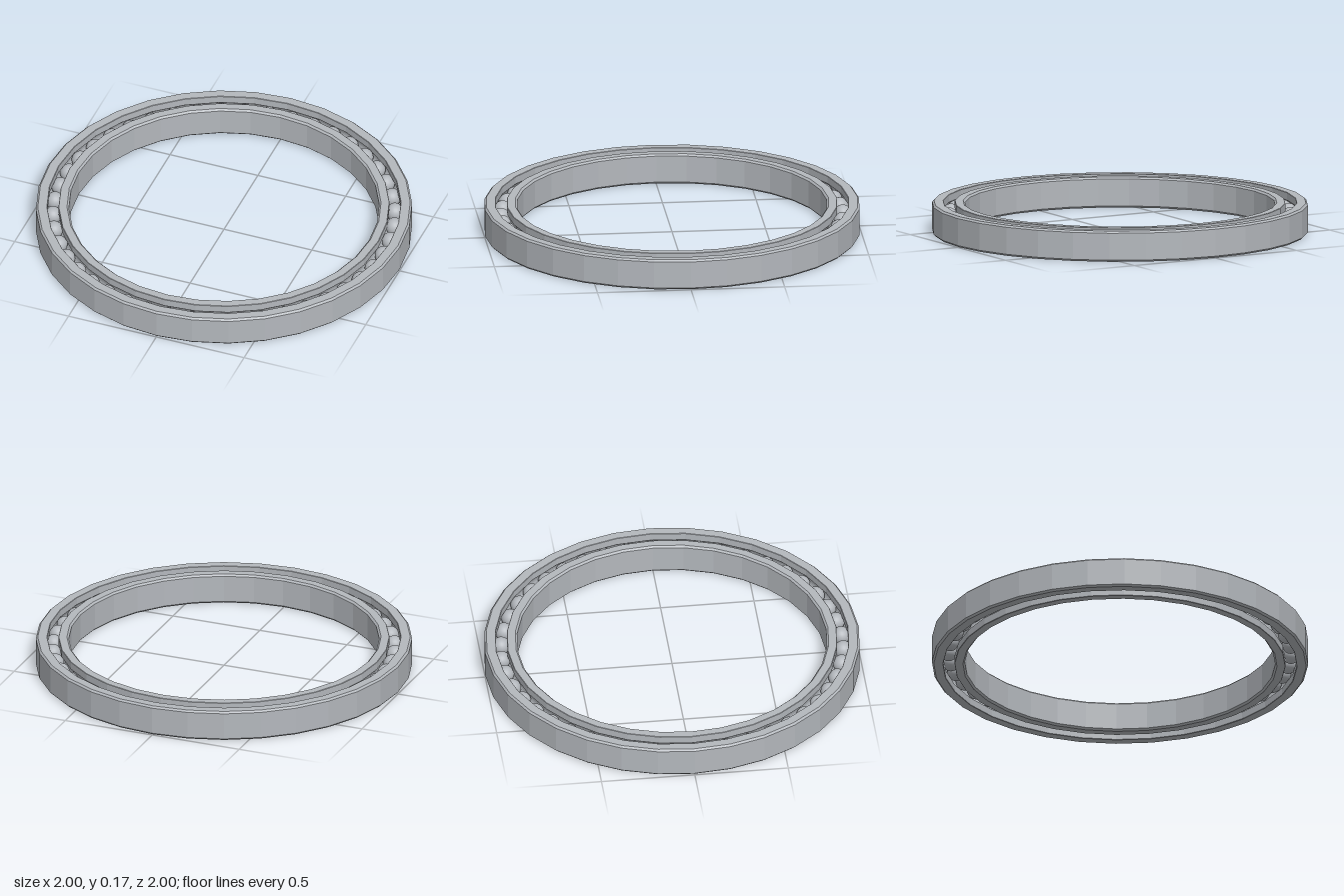
import * as THREE from 'three';

const HEIGHT = 0.165, MID = HEIGHT / 2;
const PITCH = 0.91;          // radius of the ball circle
const BALL_R = 0.048, GROOVE_R = 0.051;
const BALLS = 45, SIDES = 32, BEVEL = 0.01;

// Half-circle section of a ball groove cut into a wall at the given radius.
// dir = 1 runs up the wall facing outwards, dir = -1 runs down the wall facing inwards.
function groove(wall, dir) {
  const half = Math.acos(Math.abs(wall - PITCH) / GROOVE_R);
  const points = [];
  for (let i = 0; i <= 8; i++) {
    const a = -half + (2 * half * i) / 8;
    points.push(new THREE.Vector2(
      PITCH - dir * GROOVE_R * Math.cos(a),
      MID + dir * GROOVE_R * Math.sin(a)));
  }
  return points;
}

// Closed ring section with bevelled edges, turned into flat facets
function makeRing(name, rIn, rOut, bevelIn, bevelOut, innerGroove, outerGroove, material) {
  const v = (x, y) => new THREE.Vector2(x, y);
  const profile = [
    v(rIn + bevelIn, 0), v(rOut - bevelOut, 0), v(rOut, bevelOut),
    ...outerGroove,
    v(rOut, HEIGHT - bevelOut), v(rOut - bevelOut, HEIGHT),
    v(rIn + bevelIn, HEIGHT), v(rIn, HEIGHT - bevelIn),
    ...innerGroove,
    v(rIn, bevelIn), v(rIn + bevelIn, 0),
  ];
  const geometry = new THREE.LatheGeometry(profile, SIDES).toNonIndexed();
  geometry.computeVertexNormals();
  const mesh = new THREE.Mesh(geometry, material);
  mesh.name = name;
  return mesh;
}

export function createModel() {
  const steel = new THREE.MeshStandardMaterial({ color: 0xb4b8bd });
  steel.name = 'steel';

  const model = new THREE.Group();
  model.name = 'ballBearing';

  // Outer and inner races
  model.add(makeRing('outerRing', 0.94, 1, 0.002, BEVEL, groove(0.94, -1), [], steel));
  model.add(makeRing('innerRing', 0.825, 0.88, BEVEL, 0.002, [], groove(0.88, 1), steel));

  // Balls spaced evenly between the races
  const balls = new THREE.Group();
  balls.name = 'balls';
  const ballGeometry = new THREE.SphereGeometry(BALL_R, 20, 14);
  for (let i = 0; i < BALLS; i++) {
    const a = (i / BALLS) * Math.PI * 2;
    const ball = new THREE.Mesh(ballGeometry, steel);
    ball.name = 'ball';
    ball.position.set(PITCH * Math.cos(a), MID, PITCH * Math.sin(a));
    balls.add(ball);
  }
  model.add(balls);
  return model;
}
